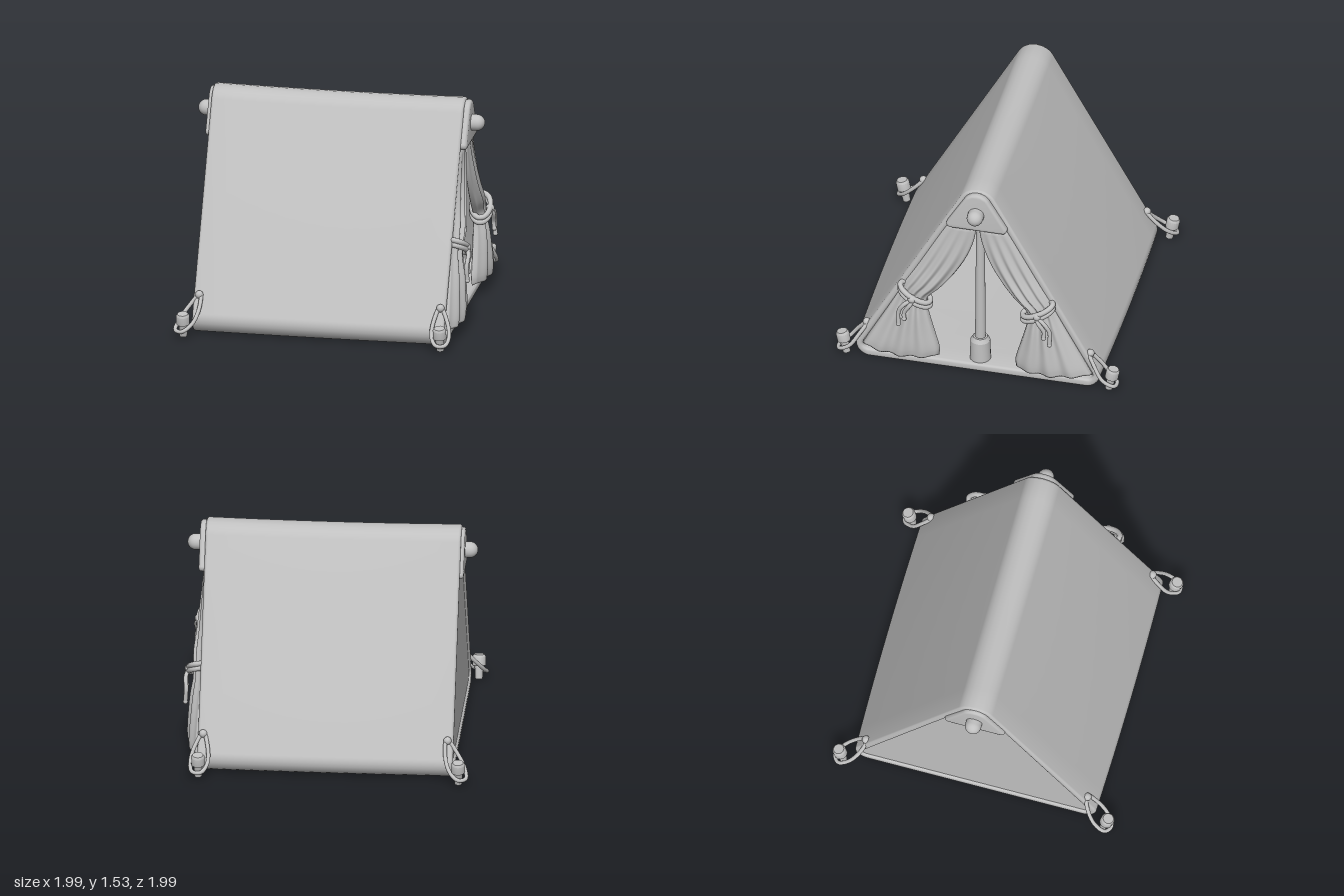
import * as THREE from 'three';
import { mergeVertices, toCreasedNormals } from 'three/addons/utils/BufferGeometryUtils.js';

const canvas = new THREE.MeshStandardMaterial({ color: 0xc0c0c0, side: THREE.DoubleSide });
canvas.name = 'plain grey';
const V3 = (x, y, z) => new THREE.Vector3(x, y, z);

function add(parent, name, geometry) {
  const mesh = new THREE.Mesh(geometry, canvas);
  mesh.name = name;
  parent.add(mesh);
  return mesh;
}

// Points of a polygon whose corners [z, y, radius] are rounded with arcs
function rounded(corners) {
  const out = [];
  corners.forEach(([x, y, r], i) => {
    const n = corners.length, p = new THREE.Vector2(x, y);
    const a = new THREE.Vector2(...corners[(i + n - 1) % n].slice(0, 2)).sub(p).normalize();
    const b = new THREE.Vector2(...corners[(i + 1) % n].slice(0, 2)).sub(p).normalize();
    const half = Math.acos(a.dot(b)) / 2, t = r / Math.tan(half);
    const c = a.clone().add(b).normalize().multiplyScalar(r / Math.sin(half)).add(p);
    const from = a.multiplyScalar(t).add(p).sub(c), to = b.multiplyScalar(t).add(p).sub(c);
    for (let k = 0; k <= 10; k++) {
      out.push(from.clone().lerp(to, k / 10).setLength(r).add(c));
    }
  });
  return out;
}

const triangle = (half, base, top, rBase, rTop) =>
  rounded([[-half, base, rBase], [half, base, rBase], [0, top, rTop]]);

// Extrudes a (z, y) outline along x from x0 to x1 with a soft bevel
function extrudeX(shape, x0, x1, bevel, steps = 1) {
  const g = new THREE.ExtrudeGeometry(shape, {
    depth: x1 - x0 - 2 * bevel, steps, bevelEnabled: bevel > 0, bevelThickness: bevel,
    bevelSize: bevel, bevelOffset: -bevel, bevelSegments: 3,
  });
  g.rotateY(Math.PI / 2).translate(x0 + bevel, 0, 0);
  return g;
}

function rope(points, radius, closed = false) {
  const curve = new THREE.CatmullRomCurve3(points, closed);
  return new THREE.TubeGeometry(curve, 48, radius, 10, closed);
}

// Gathered curtain: folds run between an inner and an outer edge
function curtainGeometry(side) {
  const inner = new THREE.CatmullRomCurve3([
    [0.88, 1.24, 0.005], [0.89, 1.1, 0.03], [0.905, 0.95, 0.085], [0.92, 0.8, 0.17],
    [0.935, 0.68, 0.26], [0.925, 0.585, 0.345], [0.925, 0.53, 0.355], [0.945, 0.43, 0.335],
    [0.955, 0.3, 0.3], [0.955, 0.16, 0.265], [0.945, 0.1, 0.27]].map(p => V3(...p)));
  const outer = new THREE.CatmullRomCurve3([
    [0.88, 1.24, 0.2], [0.88, 1.12, 0.275], [0.885, 0.98, 0.35], [0.89, 0.85, 0.42],
    [0.9, 0.74, 0.485], [0.9, 0.66, 0.53], [0.9, 0.58, 0.565], [0.915, 0.47, 0.62],
    [0.93, 0.32, 0.7], [0.94, 0.17, 0.78], [0.93, 0.11, 0.81]].map(p => V3(...p)));
  const rows = 50, cols = 40, ring = 2 * cols, pos = [], index = [];
  for (let i = 0; i <= rows; i++) {
    const t = i / rows, a = inner.getPoint(t), b = outer.getPoint(t);
    const end = i === 0 || i === rows ? 0 : 1;
    for (let j = 0; j < ring; j++) {
      const front = j <= cols, u = front ? j / cols : (ring - j) / cols;
      const p = a.clone().lerp(b, u), dome = Math.pow(Math.sin(Math.PI * u) + 1e-9, 0.45);
      const fold = 0.014 * Math.cos(u * Math.PI * 7 + t * 2) * Math.min(1, t * 3);
      const sag = 0.012 * Math.sin(Math.PI * u) * (t > 0.9 ? (t - 0.9) * 10 : 0);
      const x = front ? 0.85 + end * dome * (p.x - 0.858 + fold) : 0.85 - end * dome * 0.02;
      pos.push(x, p.y - sag, side * p.z);
    }
  }
  for (let i = 0; i < rows; i++) for (let j = 0; j < ring; j++) {
    const a = i * ring + j, b = i * ring + (j + 1) % ring, c = a + ring, d = b + ring;
    if (side > 0) index.push(a, b, c, b, d, c);
    else index.push(a, c, b, b, c, d);
  }
  const g = new THREE.BufferGeometry();
  g.setAttribute('position', new THREE.Float32BufferAttribute(pos, 3));
  g.setIndex(index);
  const merged = mergeVertices(g);
  merged.computeVertexNormals();
  return merged;
}

export function createModel() {
  const tent = new THREE.Group();
  tent.name = 'tent';

  // Canvas shell with floor: a hollow rounded prism, bulging slightly midway
  const outline = new THREE.Shape(triangle(0.923, 0.01, 1.69, 0.1, 0.138));
  outline.holes.push(new THREE.Path(triangle(0.833, 0.07, 1.596, 0.04, 0.08)));
  const shell = extrudeX(outline, -0.89, 0.86, 0.018, 12);
  const p = shell.attributes.position;
  for (let i = 0; i < p.count; i++) {
    const mid = 1 - (p.getX(i) / 0.89) ** 2, y = p.getY(i);
    p.setZ(i, p.getZ(i) * (1 + 0.015 * mid));
    if (y > 1.3) p.setY(i, y - 0.01 * mid);
  }
  add(tent, 'canvasShell', toCreasedNormals(shell, 0.6));

  // Closed wall at the far end
  const wall = new THREE.Shape(triangle(0.86, 0.04, 1.62, 0.05, 0.09));
  add(tent, 'endWall', extrudeX(wall, -0.875, -0.845, 0));

  // Ridge pole with gable plates and rounded pole ends
  const ridge = add(tent, 'ridgePole', new THREE.CylinderGeometry(0.035, 0.035, 1.74, 20));
  ridge.rotation.z = Math.PI / 2;
  ridge.position.y = 1.365;
  const plate = new THREE.Shape(triangle(0.235, 1.225, 1.62, 0.03, 0.1));
  for (const [x0, x1, tip] of [[0.84, 0.9, 0.99], [-0.915, -0.86, -1]]) {
    add(tent, 'gablePlate', toCreasedNormals(extrudeX(plate, x0, x1, 0.018), 0.6));
    const knob = add(tent, 'poleEnd', new THREE.CapsuleGeometry(0.056, 0.06, 10, 24));
    knob.rotation.z = Math.PI / 2;
    knob.position.set(tip - Math.sign(tip) * 0.086, 1.365, 0);
  }

  // Upright pole standing in a socket
  const pole = add(tent, 'uprightPole', new THREE.CylinderGeometry(0.028, 0.038, 1.3, 20));
  pole.position.set(0.77, 0.71, 0);
  const socket = [[0, 0.06], [0.073, 0.06], [0.068, 0.22], [0.05, 0.25], [0, 0.25]];
  const socketMesh = add(tent, 'poleSocket', toCreasedNormals(
    new THREE.LatheGeometry(socket.map(q => new THREE.Vector2(...q)), 20), 0.5));
  socketMesh.position.set(0.77, 0, 0);

  // Curtains, each held by a double cord with a knot and two tails
  for (const s of [1, -1]) {
    add(tent, s > 0 ? 'curtainLeft' : 'curtainRight', curtainGeometry(s));
    for (const drop of [0, 0.035]) {
      const loop = [];
      for (let k = 0; k < 12; k++) {
        const a = k * Math.PI / 6, c = Math.cos(a), n = Math.sin(a);
        loop.push(V3(0.885 + 0.062 * n, 0.63 - drop - 0.055 * c - 0.012 * n, s * (0.43 - 0.105 * c)));
      }
      add(tent, 'curtainTie', rope(loop, 0.019, true));
    }
    const knot = add(tent, 'tieKnot', new THREE.SphereGeometry(0.03, 16, 12));
    knot.position.set(0.945, 0.61, s * 0.44);
    for (const [z, y] of [[0.53, 0.4], [0.49, 0.45]]) {
      const path = [V3(0.945, 0.61, s * 0.43), V3(0.965, 0.57, s * (z - 0.04)),
        V3(0.96, 0.5, s * z), V3(0.965, y, s * z)];
      add(tent, 'tieTail', rope(path, 0.015));
      add(tent, 'tailEnd', new THREE.SphereGeometry(0.017, 12, 8)).position.copy(path[3]);
    }
  }

  // Corner stakes with rope loops
  for (const sx of [1, -1]) for (const sz of [1, -1]) {
    const a = V3(sx > 0 ? 0.825 : -0.85, 0.275, sz * 0.785);
    const s = V3(sx > 0 ? 0.85 : -0.94, 0.02, sz * 0.93);
    const d = V3(s.x - a.x, 0, s.z - a.z).normalize();
    const w = V3(-d.z, 0, d.x);
    const at = (base, along, across, y) =>
      base.clone().addScaledVector(d, along).addScaledVector(w, across).setY(y);
    add(tent, 'guyRope', rope([
      at(a, -0.01, 0, 0.28), at(a, 0.05, 0.045, 0.2), at(s, -0.03, 0.06, 0.11),
      at(s, 0.04, 0.03, 0.065), at(s, 0.04, -0.03, 0.065), at(s, -0.03, -0.06, 0.11),
      at(a, 0.05, -0.045, 0.2)], 0.014, true));
    add(tent, 'ropeEyelet', new THREE.SphereGeometry(0.028, 16, 12)).position.copy(a);
    const profile = [[0, 0], [0.026, 0], [0.03, 0.09], [0.046, 0.095], [0.046, 0.155],
      [0.036, 0.17], [0, 0.17]];
    const stake = add(tent, 'stake', toCreasedNormals(
      new THREE.LatheGeometry(profile.map(q => new THREE.Vector2(...q)), 20), 0.6));
    stake.position.copy(s).addScaledVector(d, -0.01);
    stake.rotation.x = sz * 0.2;
  }

  return tent;
}
